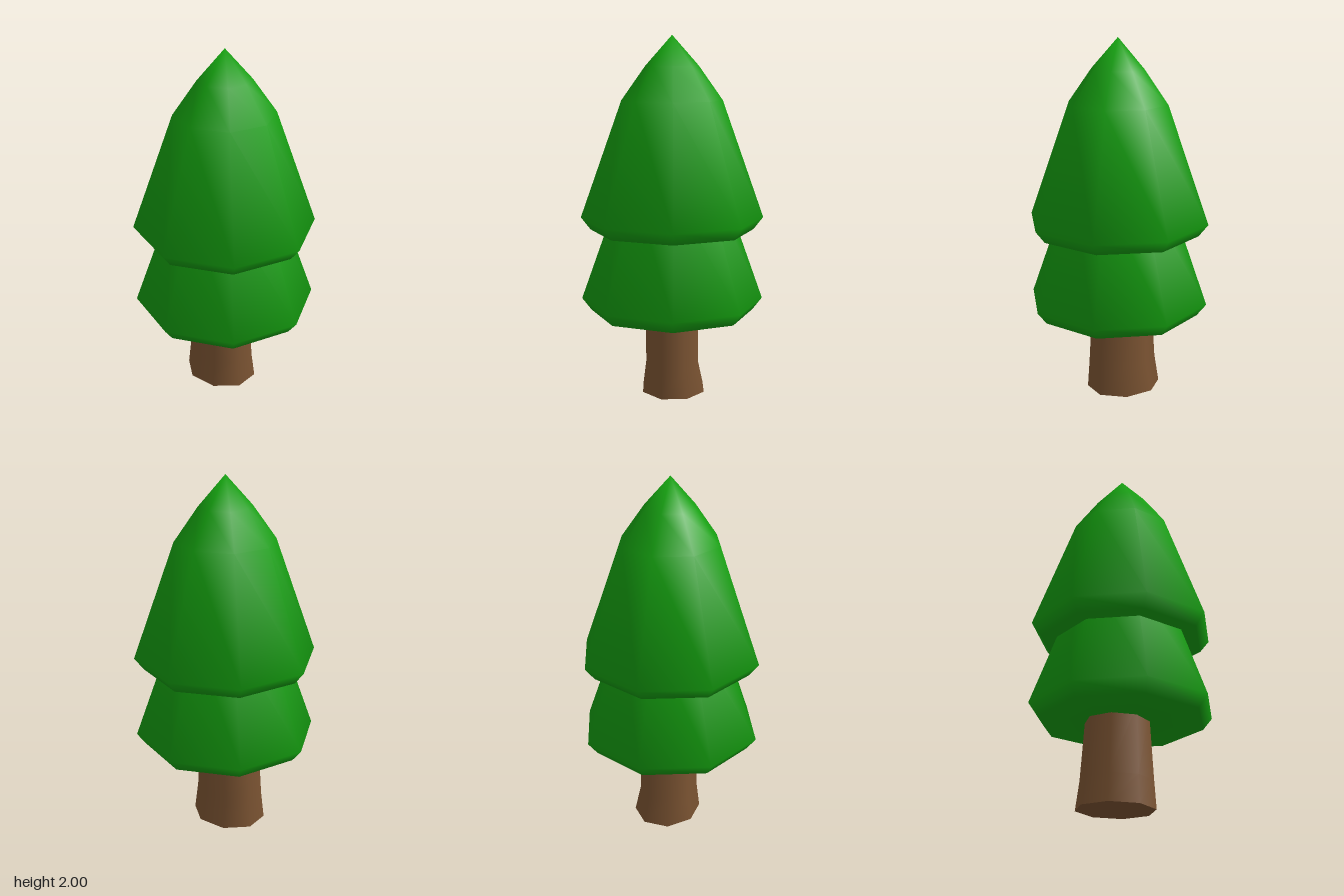
import * as THREE from 'three';

const SIDES = 8;

// Smooth normals for a lathe: the plain average of the two neighbouring profile segments.
function softenLathe(geometry, points) {
  const segmentNormals = points.slice(1).map((p, i) => {
    const d = p.clone().sub(points[i]).normalize();
    return new THREE.Vector2(d.y, -d.x);
  });
  const last = points.length - 1;
  const normals = points.map((p, i) => {
    if (i === 0) return new THREE.Vector2(0, -1);
    if (i === last) return new THREE.Vector2(0, 1);
    return segmentNormals[i - 1].clone().add(segmentNormals[i]).normalize();
  });
  const attr = geometry.attributes.normal;
  for (let i = 0; i <= SIDES; i++) {
    const a = (i / SIDES) * Math.PI * 2;
    normals.forEach((n, j) => attr.setXYZ(
      i * points.length + j, n.x * Math.sin(a), n.y, n.x * Math.cos(a)));
  }
  return geometry;
}

// One bell-shaped tier of foliage with a bevelled rim and closed underside.
function makeTier(name, baseY, material) {
  const profile = [
    [0, 0], [0.455, 0], [0.508, 0.068], [0.277, 0.715], [0.146, 0.9], [0, 1.065],
  ].map(([r, y]) => new THREE.Vector2(r, y));
  const tier = new THREE.Mesh(softenLathe(new THREE.LatheGeometry(profile, SIDES), profile), material);
  tier.name = name;
  tier.position.y = baseY;
  return tier;
}

// Eight-sided trunk, slightly off centre, flaring towards the foot.
function makeTrunk(material) {
  const height = 0.52;
  const rings = [ // y, centre x, half width x, centre z, half depth z
    [0, -0.033, 0.198, -0.007, 0.173],
    [0.155, -0.029, 0.184, 0, 0.147],
    [height, -0.027, 0.16, 0, 0.147],
  ];
  const flat = Math.cos(Math.PI / SIDES);
  const geometry = new THREE.CylinderGeometry(1 / flat, 1 / flat, height, SIDES, 2, false, Math.PI / SIDES);
  const pos = geometry.attributes.position;
  for (let i = 0; i < pos.count; i++) {
    const level = Math.round((pos.getY(i) / height + 0.5) * 2);
    const [y, cx, hx, cz, hz] = rings[level];
    pos.setXYZ(i, cx + pos.getX(i) * hx, y, cz + pos.getZ(i) * hz);
  }
  const trunk = new THREE.Mesh(geometry, material);
  trunk.name = 'trunk';
  return trunk;
}

export function createModel() {
  const leaf = new THREE.MeshStandardMaterial({ color: 0x15a010 });
  const bark = new THREE.MeshStandardMaterial({ color: 0x7d5533 });
  const tree = new THREE.Group();
  tree.name = 'tree';
  tree.add(
    makeTrunk(bark),
    makeTier('lowerFoliage', 0.472, leaf),
    makeTier('upperFoliage', 0.935, leaf),
  );
  return tree;
}
